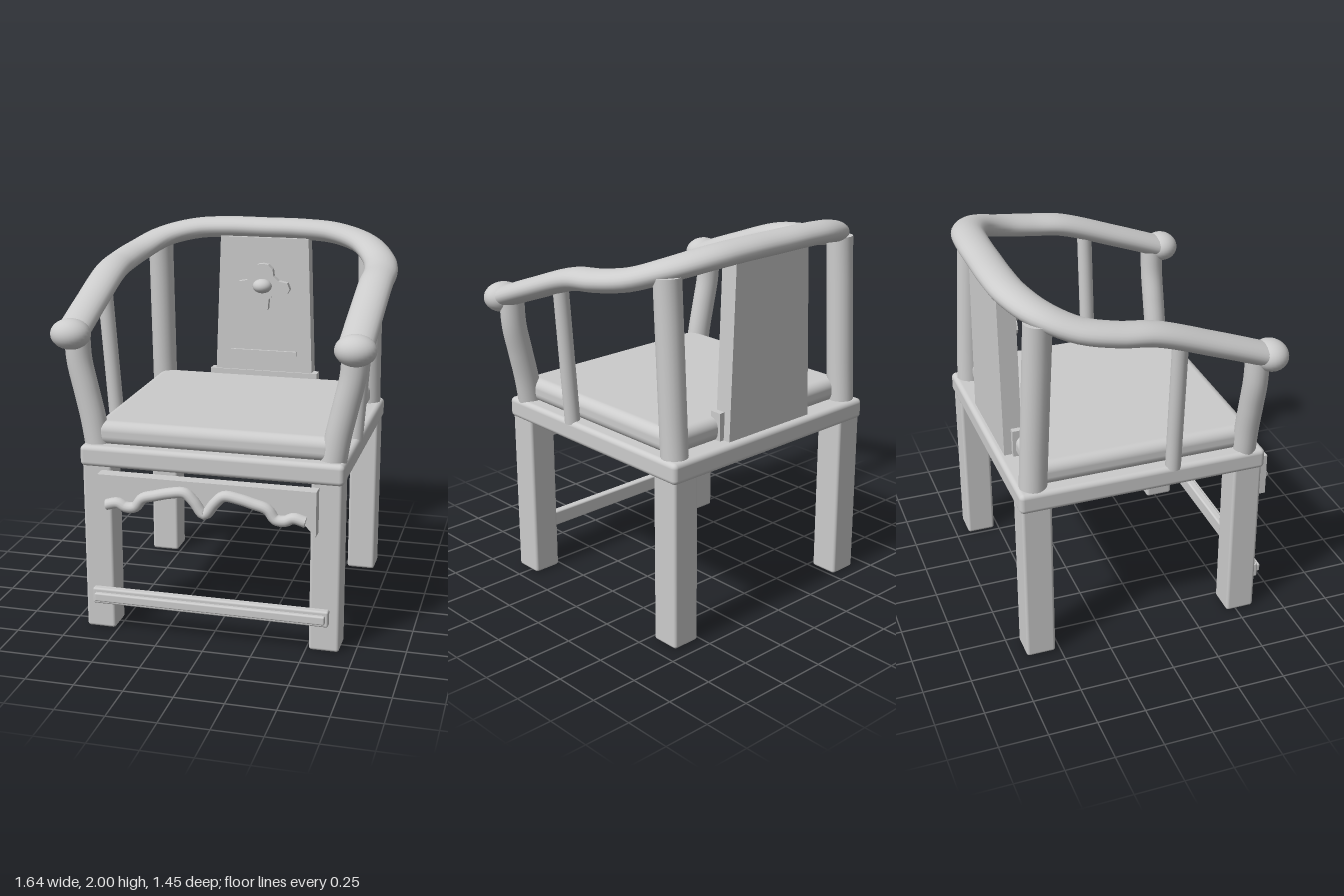
import * as THREE from 'three';
import { RoundedBoxGeometry } from 'three/addons/geometries/RoundedBoxGeometry.js';

const grey = new THREE.MeshStandardMaterial({ color: 0xcccccc });
grey.name = 'pale grey';

// Capped elliptical sweep along a smooth curve; ref x tangent gives the rx axis.
function sweep(points, rx, ry, ref, rings = 40, sides = 20) {
  const curve = new THREE.CatmullRomCurve3(points.map(p => new THREE.Vector3(...p)), false, 'centripetal');
  const pos = [], index = [];
  for (let i = 0; i <= rings; i++) {
    const c = curve.getPointAt(i / rings), t = curve.getTangentAt(i / rings);
    const side = new THREE.Vector3().crossVectors(ref, t).normalize();
    const up = new THREE.Vector3().crossVectors(t, side);
    for (let j = 0; j < sides; j++) {
      const a = j / sides * Math.PI * 2;
      const p = c.clone().addScaledVector(side, Math.cos(a) * rx).addScaledVector(up, Math.sin(a) * ry);
      pos.push(p.x, p.y, p.z);
      if (i < rings) {
        const k = (j + 1) % sides, r = i * sides, n = r + sides;
        index.push(r + j, r + k, n + j, r + k, n + k, n + j);
      }
    }
  }
  for (const end of [0, 1]) {
    const first = pos.length / 3, from = end * rings * sides;
    const c = curve.getPointAt(end);
    for (let j = 0; j < sides; j++) pos.push(...pos.slice((from + j) * 3, (from + j) * 3 + 3));
    pos.push(c.x, c.y, c.z);
    for (let j = 0; j < sides; j++) {
      const a = first + j, b = first + (j + 1) % sides;
      index.push(first + sides, end ? a : b, end ? b : a);
    }
  }
  const g = new THREE.BufferGeometry();
  g.setAttribute('position', new THREE.Float32BufferAttribute(pos, 3));
  g.setIndex(index);
  g.computeVertexNormals();
  return g;
}

// Right-half outline mirrored to the other side and extruded from z0 to z1.
function mirroredPlate(half, z0, z1) {
  const other = half.filter(p => p[0] > 0).map(([x, y]) => [-x, y]).reverse();
  const shape = new THREE.Shape([...half, ...other].map(p => new THREE.Vector2(...p)));
  return new THREE.ExtrudeGeometry(shape, { depth: z1 - z0, bevelEnabled: false }).translate(0, 0, z0);
}

// Box given by its limits, with optional rounded edges.
function block(x0, x1, y0, y1, z0, z1, r = 0) {
  const s = [x1 - x0, y1 - y0, z1 - z0];
  const g = r ? new RoundedBoxGeometry(...s, 4, r) : new THREE.BoxGeometry(...s);
  return g.translate((x0 + x1) / 2, (y0 + y1) / 2, (z0 + z1) / 2);
}

function ellipsoid(rx, ry, rz, x, y, z) {
  return new THREE.SphereGeometry(1, 28, 18).scale(rx, ry, rz).translate(x, y, z);
}

export function createModel() {
  const chair = new THREE.Group();
  chair.name = 'armchair';
  const add = (name, geometry) => {
    const m = new THREE.Mesh(geometry, grey);
    m.name = name;
    chair.add(m);
  };
  const X = new THREE.Vector3(1, 0, 0), Y = new THREE.Vector3(0, 1, 0), Z = new THREE.Vector3(0, 0, 1);
  const mirrorPath = half => [...half.slice(0, -1).map(([x, y, z]) => [-x, y, z]), ...half.slice().reverse()];

  // Seat and cushion
  add('seatFrame', block(-0.68, 0.68, 0.885, 0.995, -0.69, 0.613, 0.025));
  add('cushion', block(-0.62, 0.62, 0.985, 1.11, -0.6, 0.565, 0.05));

  // Curved top rail that becomes the arms
  const railHalf = [
    [0.712, 1.565, 0.57], [0.712, 1.665, 0.3], [0.712, 1.775, -0.02], [0.708, 1.8, -0.2],
    [0.67, 1.835, -0.38], [0.57, 1.892, -0.53], [0.4, 1.932, -0.615], [0.2, 1.944, -0.637], [0, 1.944, -0.638],
  ];
  add('topRail', sweep(mirrorPath(railHalf), 0.088, 0.057, Y, 90, 24));

  for (const s of [1, -1]) {
    const side = s > 0 ? 'left' : 'right';
    const xs = [s * 0.515, s * 0.67].sort((a, b) => a - b);
    add(side + 'FrontLeg', block(...xs, 0, 0.92, 0.445, 0.6, 0.016));
    add(side + 'BackLeg', block(...xs, 0, 0.92, -0.68, -0.525, 0.016));

    // Arm end and the posts under the rail
    add(side + 'ArmKnob', ellipsoid(0.103, 0.078, 0.09, s * 0.716, 1.563, 0.58));
    add(side + 'FrontPost', sweep([
      [s * 0.61, 0.98, 0.52], [s * 0.632, 1.12, 0.52], [s * 0.665, 1.27, 0.52],
      [s * 0.697, 1.42, 0.52], [s * 0.705, 1.57, 0.52],
    ], 0.066, 0.06, Z));
    add(side + 'MiddlePost', sweep([[s * 0.648, 0.98, 0.115], [s * 0.7, 1.72, 0.115]], 0.04, 0.04, X, 4));
    add(side + 'BackPost', sweep([[s * 0.6, 0.98, -0.602], [s * 0.6, 1.87, -0.555]], 0.07, 0.068, X, 4));
  }

  // Back splat with its foot, bar and carved flower
  add('backSplat', mirroredPlate([[0.284, 0.99], [0.25, 1.9]], -0.655, -0.56));
  add('splatFoot', block(-0.31, 0.31, 0.99, 1.14, -0.615, -0.55));
  add('splatBar', block(-0.19, 0.19, 1.235, 1.26, -0.57, -0.545));
  add('splatFlower', mirroredPlate([
    [0.03, 1.5], [0.035, 1.56], [0.065, 1.588], [0.1, 1.575], [0.14, 1.592], [0.155, 1.62], [0.14, 1.655],
    [0.09, 1.665], [0.062, 1.69], [0.056, 1.73], [0.03, 1.755], [0, 1.76],
  ], -0.57, -0.522));
  add('flowerKnob', ellipsoid(0.054, 0.04, 0.05, 0, 1.636, -0.515));

  // Scalloped front apron and the moulding along its lower edge
  const scallop = [
    [0.51, 0.722], [0.45, 0.736], [0.41, 0.718], [0.36, 0.722], [0.32, 0.77],
    [0.25, 0.792], [0.18, 0.81], [0.1, 0.818], [0.055, 0.78], [0, 0.715],
  ];
  add('apron', mirroredPlate([
    [0, 0.69], ...scallop.slice(0, -1).reverse().map(([x, y]) => [x, y - 0.025]), [0.56, 0.645], [0.56, 0.876],
  ], 0.615, 0.685));
  add('apronMoulding', sweep(mirrorPath(scallop.map(([x, y]) => [x, y, 0.69])), 0.028, 0.033, Z, 90, 14));

  // Front foot rail
  add('footRail', block(-0.62, 0.62, 0.15, 0.235, 0.597, 0.641, 0.01));
  add('footRailStrip', block(-0.605, 0.605, 0.17, 0.215, 0.625, 0.662, 0.008));

  return chair;
}
